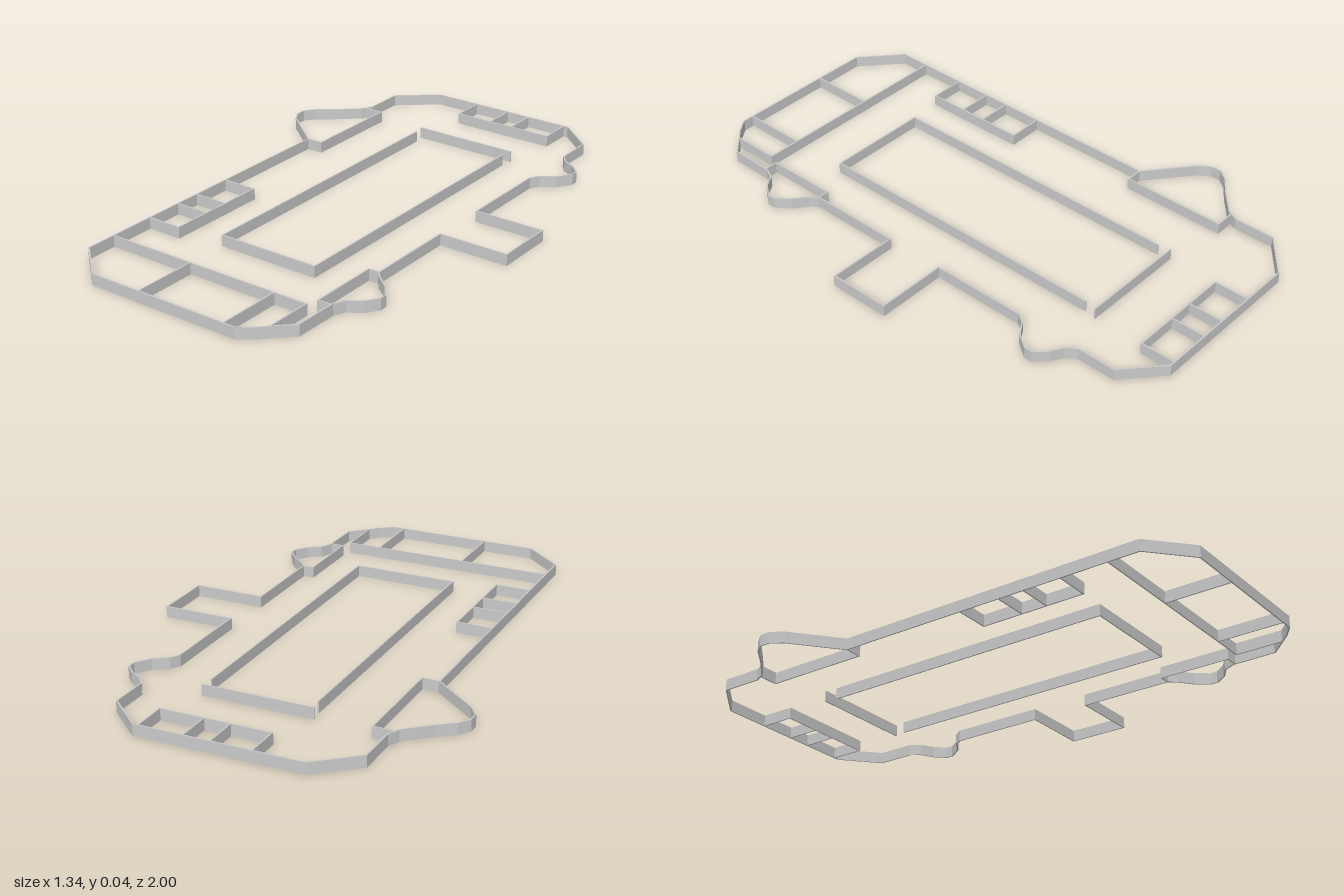
import * as THREE from 'three';

const H = 0.042; // wall height
const T = 0.005; // wall thickness

// Shifts a polyline in the plan sideways by d, with mitred corners
function offset(path, d, closed) {
  const n = path.length;
  const normal = (a, b) => new THREE.Vector2(a.y - b.y, b.x - a.x).normalize();
  return path.map((p, i) => {
    const prev = path[(i + n - 1) % n], next = path[(i + 1) % n];
    const n1 = !closed && i === 0 ? normal(p, next) : normal(prev, p);
    const n2 = !closed && i === n - 1 ? n1 : normal(p, next);
    const m = n1.clone().add(n2).normalize();
    return p.clone().addScaledVector(m, d / m.dot(n1));
  });
}

export function createModel() {
  const model = new THREE.Group();
  model.name = 'floorPlanWalls';
  const material = new THREE.MeshStandardMaterial({ color: 0xcccccc, flatShading: true, side: THREE.DoubleSide });

  // Raises a wall along a path of [x, z] points
  function wall(name, points, closed = false, parent = model) {
    const path = points.map(([x, z]) => new THREE.Vector2(x, z));
    let shape;
    if (closed) {
      shape = new THREE.Shape(path);
      shape.holes.push(new THREE.Path(offset(path, T, true)));
    } else {
      shape = new THREE.Shape([...offset(path, T / 2), ...offset(path, -T / 2).reverse()]);
    }
    const geometry = new THREE.ExtrudeGeometry(shape, { depth: H, bevelEnabled: false });
    geometry.rotateX(Math.PI / 2).translate(0, H, 0);
    const mesh = new THREE.Mesh(geometry, material);
    mesh.name = name;
    parent.add(mesh);
  }

  function group(name) {
    const g = new THREE.Group();
    g.name = name;
    model.add(g);
    return g;
  }

  // Outer wall, going round from the back edge
  wall('outerWall', [
    [-0.33, -1], [0.27, -1], [0.405, -0.88],
    // back left bay
    [0.405, -0.735], [0.43, -0.70], [0.475, -0.675], [0.513, -0.635], [0.513, -0.605],
    [0.475, -0.55], [0.425, -0.517], [0.405, -0.485],
    // square porch
    [0.405, -0.135], [0.667, -0.135], [0.667, 0.097], [0.405, 0.097],
    // front left bay
    [0.405, 0.445], [0.425, 0.47], [0.475, 0.51], [0.513, 0.56], [0.513, 0.59],
    [0.48, 0.635], [0.435, 0.665], [0.415, 0.705],
    // front edge
    [0.413, 0.87], [0.315, 0.965], [0.265, 1], [-0.33, 1], [-0.475, 0.87],
    // large right bay
    [-0.475, -0.305], [-0.64, -0.44], [-0.67, -0.485], [-0.67, -0.525], [-0.64, -0.565],
    [-0.58, -0.61], [-0.495, -0.685], [-0.475, -0.725], [-0.475, -0.88],
  ], true);

  // Inner walls closing two of the bays
  wall('rightBayWall', [[-0.49, -0.697], [-0.41, -0.697], [-0.41, -0.305], [-0.475, -0.305]]);
  wall('leftBayWall', [[0.405, 0.445], [0.362, 0.445], [0.362, 0.712], [0.413, 0.712]]);

  // Central hall, open at its back corners
  const hall = group('centralHall');
  wall('hallBackWall', [[-0.19, -0.655], [0.22, -0.655]], false, hall);
  wall('hallWall', [[-0.18, -0.61], [-0.18, 0.535], [0.21, 0.535], [0.21, -0.61]], false, hall);

  // Small rooms along the back
  const back = group('backRooms');
  wall('backRoomsWall', [[-0.15, -0.997], [-0.15, -0.868], [0.25, -0.868], [0.25, -0.997]], false, back);
  for (const x of [-0.005, 0.09]) wall('backPartition', [[x, -0.997], [x, -0.868]], false, back);

  // Small rooms along the right side
  const side = group('sideRooms');
  wall('sideRoomsWall', [[-0.473, 0.18], [-0.34, 0.18], [-0.34, 0.576], [-0.473, 0.576]], false, side);
  for (const z of [0.335, 0.433]) wall('sidePartition', [[-0.473, z], [-0.34, z]], false, side);

  // Large rooms along the front
  const front = group('frontRooms');
  wall('frontRoomsWall', [[-0.473, 0.753], [0.347, 0.753], [0.347, 0.93]], false, front);
  for (const x of [-0.13, 0.22]) wall('frontPartition', [[x, 0.753], [x, 0.997]], false, front);

  return model;
}
